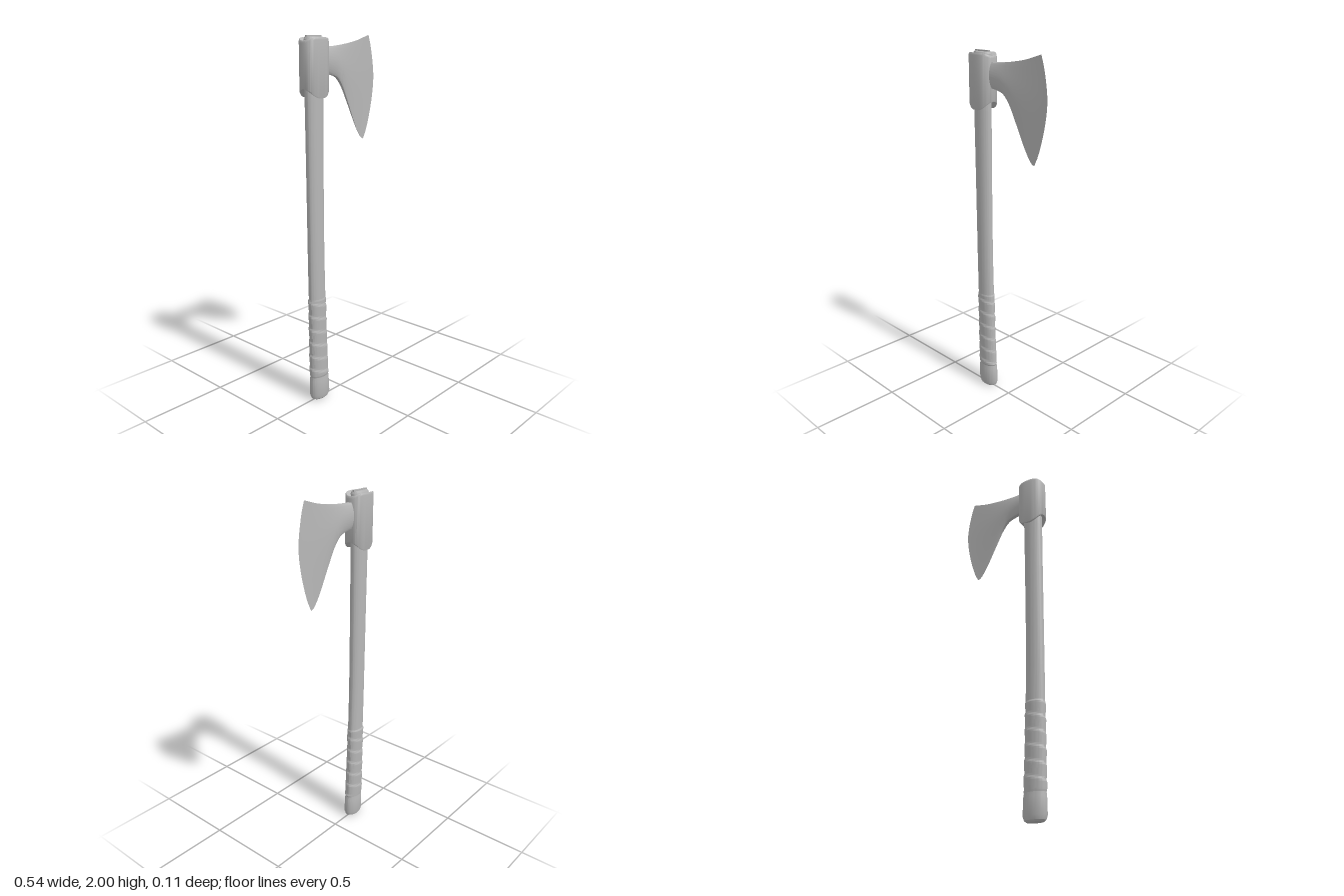
import * as THREE from 'three';
import { toCreasedNormals } from 'three/addons/utils/BufferGeometryUtils.js';

const steel = new THREE.MeshStandardMaterial({ color: 0xb8b8b8 });
steel.name = 'plain grey';

// Skin a series of closed loops; point(i, j) returns [x, y, z]
function skin(name, rows, cols, point, crease = 0.5) {
  const pos = [], idx = [];
  for (let i = 0; i < rows; i++) for (let j = 0; j < cols; j++) pos.push(...point(i, j));
  for (let i = 0; i < rows - 1; i++) {
    for (let j = 0; j < cols; j++) {
      const a = i * cols + j, b = i * cols + (j + 1) % cols;
      idx.push(a, a + cols, b, b, a + cols, b + cols);
    }
  }
  const geo = new THREE.BufferGeometry();
  geo.setAttribute('position', new THREE.Float32BufferAttribute(pos, 3));
  geo.setIndex(idx);
  const mesh = new THREE.Mesh(toCreasedNormals(geo, crease), steel);
  mesh.name = name;
  return mesh;
}

const SIDES = 48;
const angle = j => (j / SIDES) * Math.PI * 2;

// Handle sections: height, centre x, half width, half depth
const sections = [
  [0, -0.173, 0, 0], [0, -0.173, 0.046, 0.028], [0.008, -0.173, 0.058, 0.036],
  [0.03, -0.173, 0.066, 0.042], [0.12, -0.175, 0.063, 0.041], [0.142, -0.176, 0.06, 0.038],
  [0.3, -0.181, 0.057, 0.037], [0.45, -0.184, 0.055, 0.036], [0.61, -0.187, 0.054, 0.0355],
  [0.8, -0.191, 0.053, 0.0355], [1.0, -0.193, 0.0525, 0.0355], [1.4, -0.195, 0.054, 0.036],
  [1.68, -0.196, 0.056, 0.037], [1.978, -0.195, 0.058, 0.038], [1.99, -0.195, 0.052, 0.033],
  [1.99, -0.195, 0, 0],
];

function sectionAt(y) {
  const k = sections.findIndex(s => s[0] > y);
  const a = sections[k - 1], b = sections[k], t = (y - a[0]) / (b[0] - a[0]);
  return a.map((v, n) => v + (b[n] - v) * t);
}

function handle() {
  return skin('handle', sections.length, SIDES, (i, j) => {
    const [y, cx, rx, rz] = sections[i];
    return [cx + rx * Math.cos(angle(j)), y, rz * Math.sin(angle(j))];
  });
}

// Overlapping strip wound up the grip in a helix
function gripWrap() {
  const rows = 170, low = 0.14, high = 0.61, pitch = 0.08;
  return skin('gripWrap', rows, SIDES, (i, j) => {
    const y = low + (high - low) * i / (rows - 1);
    const [, cx, rx, rz] = sectionAt(y);
    const turn = y / pitch - j / SIDES, p = turn - Math.floor(turn);
    const fade = Math.min(1, (y - low) / 0.01, (high - y) / 0.01);
    const lift = fade * (0.0008 + 0.004 * (p < 0.85 ? p / 0.85 : (1 - p) / 0.15));
    return [cx + (rx + lift) * Math.cos(angle(j)), y, (rz + lift) * Math.sin(angle(j))];
  }, 0.9);
}

// Socket of the head, with lobes hanging down on both flat sides
function socket() {
  const round = v => Math.sign(v) * Math.abs(v) ** 0.8;
  // outer scale (0 = handle surface), at top, height offset
  const rings = [
    [0, false, 0.004], [0.96, false, 0], [1, false, 0.007],
    [1, true, -0.012], [0.985, true, -0.004], [0.95, true, 0], [0, true, -0.006],
  ];
  return skin('headSocket', rings.length, SIDES, (i, j) => {
    const [s, top, dy] = rings[i];
    const c = Math.cos(angle(j)), n = Math.sin(angle(j));
    const y = dy + (top ? 1.986 - 0.015 * c ** 4 : 1.69 + 0.045 * c * c);
    if (s === 0) return [-0.195 + 0.055 * c, y, 0.036 * n];
    return [-0.193 + s * 0.081 * round(c), y, s * 0.0565 * round(n)];
  }, 0.6);
}

const curve = pts => new THREE.CatmullRomCurve3(pts.map(([x, y]) => new THREE.Vector3(x, y, 0)), false, 'centripetal');

// Bearded blade, tapering from the neck to a curved cutting edge
function blade() {
  const upper = curve([[-0.135, 1.94], [-0.07, 1.942], [0.01, 1.95], [0.125, 1.97], [0.225, 2.0]]);
  const lower = curve([[-0.135, 1.81], [-0.07, 1.8], [-0.03, 1.785], [0.01, 1.74], [0.06, 1.645],
    [0.125, 1.515], [0.16, 1.462], [0.174, 1.449], [0.188, 1.445]]);
  const edge = curve([[0.225, 2.0], [0.246, 1.935], [0.27, 1.79], [0.262, 1.685], [0.235, 1.565],
    [0.21, 1.49], [0.188, 1.445]]);
  const nu = 36, nv = 24, tops = [], bottoms = [], edges = [];
  for (let i = 0; i <= nu; i++) {
    tops.push(upper.getPointAt(i / nu));
    bottoms.push(lower.getPointAt(i / nu));
  }
  for (let k = 0; k <= nv; k++) {
    const straight = tops[nu].clone().lerp(bottoms[nu], k / nv);
    edges.push(edge.getPointAt(k / nv).sub(straight));
  }
  return skin('blade', nu + 1, 2 * (nv + 1), (i, j) => {
    // up the front face, then down the back face
    const front = j <= nv, k = front ? nv - j : j - nv - 1;
    const u = i / nu, v = k / nv;
    const p = tops[i].clone().lerp(bottoms[i], v).addScaledVector(edges[k], u * u);
    const bulge = 0.45 + 0.55 * Math.max(0, Math.sin(Math.PI * v)) ** 0.7;
    const z = 0.028 * (1 - u) ** 1.25 * bulge;
    return [p.x, p.y, front ? z : -z];
  }, 0.6);
}

export function createModel() {
  const model = new THREE.Group();
  model.name = 'axe';
  // Wedge driven into the top of the handle
  const wedge = new THREE.Mesh(new THREE.BoxGeometry(0.105, 0.014, 0.01), steel);
  wedge.name = 'wedge';
  wedge.position.set(-0.195, 1.99, 0);
  model.add(handle(), gripWrap(), socket(), blade(), wedge);
  return model;
}
